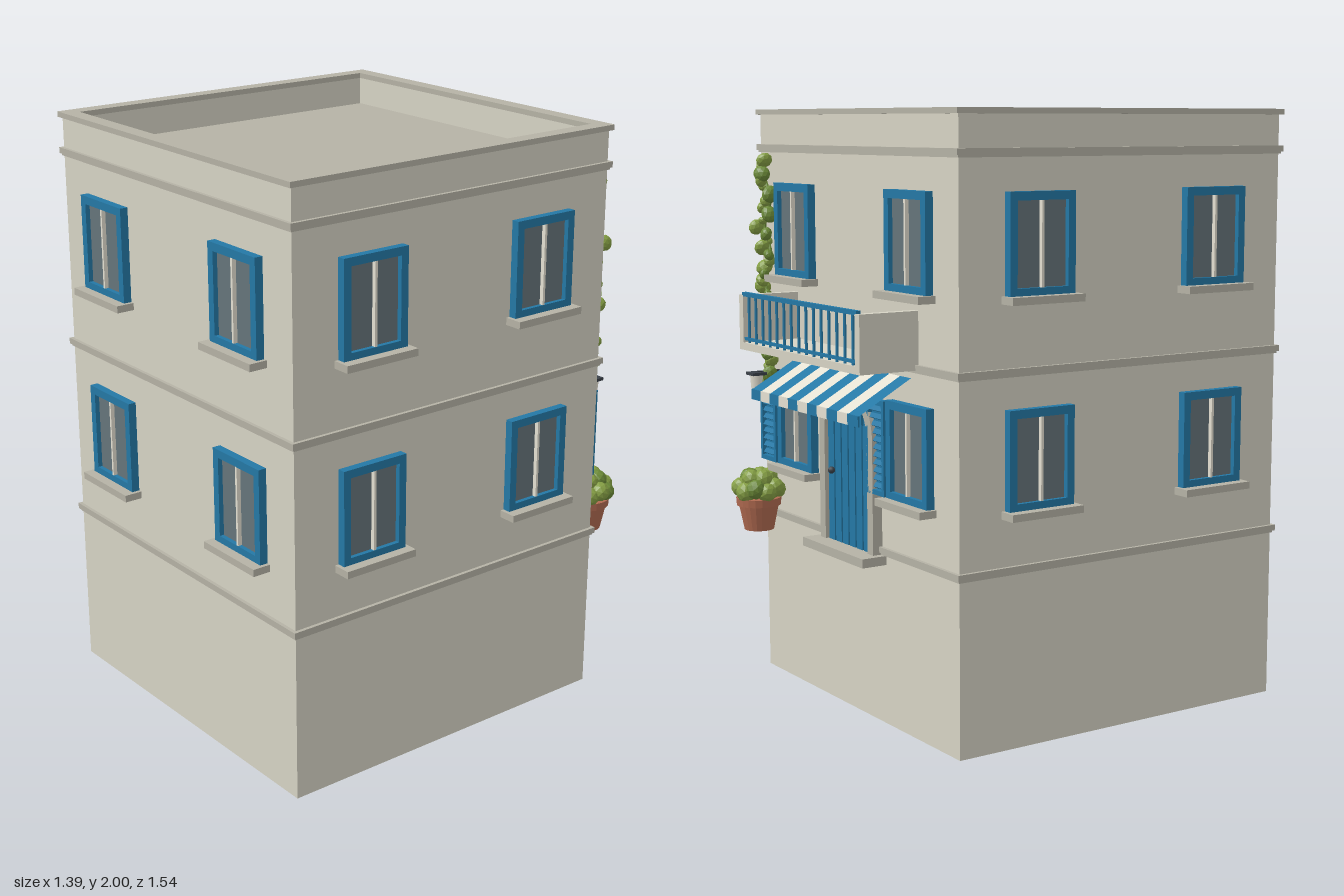
import * as THREE from 'three';

const mat = (color, extra = {}) => new THREE.MeshStandardMaterial({ color, ...extra });
const M = {
  wall: mat(0xd6d3c4), trim: mat(0xb5b2a5), blue: mat(0x2478a5), glass: mat(0x65747a),
  white: mat(0xe4e0d2), dark: mat(0x3a4048), clay: mat(0xb06a50),
  leafA: mat(0x86a045, { flatShading: true }), leafB: mat(0x6c8a38, { flatShading: true }),
  awnBlue: mat(0x2478a5, { side: THREE.DoubleSide }), awnWhite: mat(0xe4e0d2, { side: THREE.DoubleSide }),
};
const H = 0.635, CZ = 0.075, BACK = CZ - H; // half width of house, its centre and back wall

function add(parent, name, geo, material, x = 0, y = 0, z = 0) {
  const m = new THREE.Mesh(geo, material);
  m.name = name;
  m.position.set(x, y, z);
  parent.add(m);
  return m;
}
const box = (p, name, material, w, h, d, x, y, z) =>
  add(p, name, new THREE.BoxGeometry(w, h, d), material, x, y, z);

function group(parent, name, x = 0, y = 0, z = 0, ry = 0) {
  const g = new THREE.Group();
  g.name = name;
  g.position.set(x, y, z);
  g.rotation.y = ry;
  parent.add(g);
  return g;
}

// square ring lying flat, from height y0 to y1
function squareRing(parent, name, material, outer, inner, y0, y1) {
  const sq = (C, r) => new C([[-r, -r], [r, -r], [r, r], [-r, r]].map(p => new THREE.Vector2(...p)));
  const s = sq(THREE.Shape, outer);
  s.holes.push(sq(THREE.Path, inner));
  const geo = new THREE.ExtrudeGeometry(s, { depth: y1 - y0, bevelEnabled: false }).rotateX(-Math.PI / 2);
  return add(parent, name, geo, material, 0, y0, CZ);
}

// arched outline standing on y = 0
function archShape(C, w, spring) {
  const s = new C();
  s.moveTo(-w, 0);
  s.lineTo(w, 0);
  s.lineTo(w, spring);
  s.absarc(0, spring, w, 0, Math.PI, false);
  s.lineTo(-w, 0);
  return s;
}

// window facing +z, origin at the centre of the frame on the wall
function windowUnit(parent, x, y, z, ry) {
  const g = group(parent, 'window', x, y, z, ry), w = 0.245, h = 0.32, t = 0.027;
  for (const s of [-1, 1]) {
    box(g, 'frameSide', M.blue, t, h, 0.03, s * (w - t) / 2, 0, 0.013);
    box(g, 'frameRail', M.blue, w - 2 * t, t, 0.03, 0, s * (h - t) / 2, 0.013);
    box(g, 'pane', M.glass, 0.09, h - 2 * t, 0.014, s * 0.049, 0, 0.006);
  }
  box(g, 'mullion', M.white, 0.009, h - 2 * t, 0.03, 0, 0, 0.012);
  box(g, 'sill', M.trim, 0.272, 0.024, 0.075, 0, -h / 2 - 0.008, 0.025);
  return g;
}

// louvred shutter facing +z
function shutter(parent, x, y) {
  const g = group(parent, 'shutter', x, y, 0), w = 0.112, h = 0.31;
  for (const s of [-1, 1]) {
    box(g, 'stile', M.blue, 0.014, h, 0.022, s * (w - 0.014) / 2, 0, 0.024);
    box(g, 'rail', M.blue, w, 0.016, 0.022, 0, s * (h - 0.016) / 2, 0.024);
  }
  box(g, 'backing', M.blue, w - 0.02, h - 0.02, 0.006, 0, 0, 0.016);
  for (let i = 0; i < 11; i++) {
    box(g, 'slat', M.blue, w - 0.02, 0.017, 0.005, 0, -0.125 + i * 0.025, 0.025).rotation.x = -0.6;
  }
}

function door(parent) {
  const g = group(parent, 'door', 0, 0.565, 0), spring = 0.375;
  const ring = archShape(THREE.Shape, 0.175, spring);
  ring.holes.push(archShape(THREE.Path, 0.14, spring));
  add(g, 'doorSurround', new THREE.ExtrudeGeometry(ring, { depth: 0.035, bevelEnabled: false, curveSegments: 16 }), M.trim);
  add(g, 'doorLeaf', new THREE.ExtrudeGeometry(archShape(THREE.Shape, 0.14, spring),
    { depth: 0.015, bevelEnabled: false, curveSegments: 16 }), M.blue);
  // raised planks following the arch
  for (let i = 0; i < 6; i++) {
    const x = -0.115 + i * 0.046, h = spring + Math.sqrt(0.0196 - (Math.abs(x) + 0.019) ** 2);
    box(g, 'plank', M.blue, 0.038, h, 0.012, x, h / 2, 0.018);
  }
  add(g, 'handle', new THREE.SphereGeometry(0.012, 10, 8), M.dark, -0.1, 0.24, 0.032);
  box(g, 'doorstep', M.trim, 0.4, 0.03, 0.1, 0, -0.015, 0.04);
}

function balcony(parent) {
  const g = group(parent, 'balcony', 0, 0, 0), depth = 0.21;
  box(g, 'slab', M.wall, 0.81, 0.025, depth, 0, 1.207, depth / 2);
  for (const s of [-1, 1]) box(g, 'sideWall', M.wall, 0.028, 0.165, depth, s * 0.391, 1.298, depth / 2);
  box(g, 'handrail', M.blue, 0.77, 0.014, 0.016, 0, 1.383, 0.201);
  box(g, 'lowerRail', M.blue, 0.755, 0.01, 0.01, 0, 1.232, 0.201);
  for (let i = 0; i < 15; i++) {
    add(g, 'baluster', new THREE.CylinderGeometry(0.005, 0.005, 0.16, 8), M.blue, -0.35 + i * 0.05, 1.3, 0.201);
  }
}

function awning(parent) {
  const g = group(parent, 'awning'), n = 11, w = 0.72 / n;
  const top = 1.165, low = 1.06, out = 0.19;
  for (let i = 0; i < n; i++) {
    const x = -0.36 + w * (i + 0.5), m = i % 2 ? M.awnWhite : M.awnBlue;
    const strip = add(g, 'awningStripe', new THREE.PlaneGeometry(w, Math.hypot(out, top - low)), m, x, (top + low) / 2, out / 2);
    strip.rotation.x = -Math.atan2(out, top - low);
    box(g, 'valance', m, w, 0.035, 0.006, x, low - 0.016, out);
  }
}

function lantern(parent) {
  const g = group(parent, 'lantern', 0.525, 0, 0);
  box(g, 'bracket', M.dark, 0.012, 0.012, 0.09, 0, 1.09, 0.045);
  box(g, 'lanternCap', M.dark, 0.055, 0.01, 0.055, 0, 1.088, 0.09);
  add(g, 'lanternGlass', new THREE.CylinderGeometry(0.024, 0.019, 0.058, 8), M.white, 0, 1.055, 0.09);
}

const leafGeo = new THREE.IcosahedronGeometry(1, 1);
function leaf(parent, name, i, x, y, z, rx, ry, rz) {
  const m = add(parent, name, leafGeo, i % 3 === 1 ? M.leafB : M.leafA, x, y, z);
  m.scale.set(rx, ry, rz);
  m.rotation.set(i * 0.7, i * 1.3, Math.sin(i) * 0.5);
}

function plants(parent) {
  // climbing vine
  const vine = group(parent, 'vine', -0.555, 0, 0);
  const pts = [];
  for (let i = 0; i < 34; i++) {
    const y = 1.06 + i * 0.0232, x = 0.022 * Math.sin(i * 0.75), z = 0.032 + 0.01 * Math.sin(i * 1.7);
    pts.push(new THREE.Vector3(x, y, 0.02));
    const r = 0.023 + 0.007 * Math.sin(i * 2.3);
    leaf(vine, 'vineLeaf', i, x + 0.024 * Math.sin(i * 2.1), y, z, r * 1.1, r, r * 0.8);
  }
  add(vine, 'vineStem', new THREE.TubeGeometry(new THREE.CatmullRomCurve3(pts), 60, 0.006, 6), M.leafB);

  // potted bush
  const pot = group(parent, 'flowerPot', -0.525, 0.535, 0.09);
  const profile = [[0, 0], [0.052, 0], [0.07, 0.088], [0.078, 0.088], [0.08, 0.115], [0.066, 0.115], [0.064, 0.1], [0, 0.1]];
  const geo = new THREE.LatheGeometry(profile.map(p => new THREE.Vector2(...p)), 20);
  add(pot, 'pot', geo, mat(0xb06a50, { flatShading: true, side: THREE.DoubleSide }));
  for (let i = 0; i < 10; i++) {
    const a = i * Math.PI / 5;
    leaf(pot, 'bushLeaf', i, 0.062 * Math.cos(a), 0.14 + 0.012 * (i % 2), 0.062 * Math.sin(a), 0.036, 0.034, 0.036);
  }
  for (let i = 0; i < 5; i++) {
    const a = i * Math.PI * 0.4;
    leaf(pot, 'bushLeaf', i + 2, 0.034 * Math.cos(a), 0.182, 0.034 * Math.sin(a), 0.036, 0.034, 0.036);
  }
}

export function createModel() {
  const house = new THREE.Group();
  house.name = 'house';

  // walls, flat roof and parapet
  box(house, 'walls', M.wall, 2 * H, 1.885, 2 * H, 0, 0.9425, CZ);
  box(house, 'roofFloor', M.trim, 1.19, 0.004, 1.19, 0, 1.886, CZ);
  squareRing(house, 'parapet', M.wall, H, 0.595, 1.885, 1.985);
  squareRing(house, 'parapetCap', M.trim, 0.647, 0.593, 1.982, 2);

  // string courses: a wide strip over a thinner one
  for (const y of [0.565, 1.185, 1.853]) {
    squareRing(house, 'stringCourse', M.trim, 0.647, 0.62, y + 0.007, y + 0.027);
    squareRing(house, 'stringCourseFoot', M.trim, 0.641, 0.62, y, y + 0.007);
  }

  // two windows per storey on every side
  for (const y of [0.925, 1.59]) {
    for (const s of [-1, 1]) {
      windowUnit(house, s * 0.37, y, CZ + H, 0);
      windowUnit(house, s * 0.37, y, BACK, Math.PI);
      windowUnit(house, H, y, CZ + s * 0.345, Math.PI / 2);
      windowUnit(house, -H, y, CZ + s * 0.345, -Math.PI / 2);
    }
  }

  // entrance side, built facing +z and turned to the back
  const entrance = group(house, 'entranceSide', 0, 0, BACK, Math.PI);
  door(entrance);
  shutter(entrance, 0.19, 0.925);
  shutter(entrance, -0.552, 0.925);
  balcony(entrance);
  awning(entrance);
  lantern(entrance);
  entrance.getObjectByName('lantern').position.x = -0.525;
  plants(entrance);
  return house;
}
